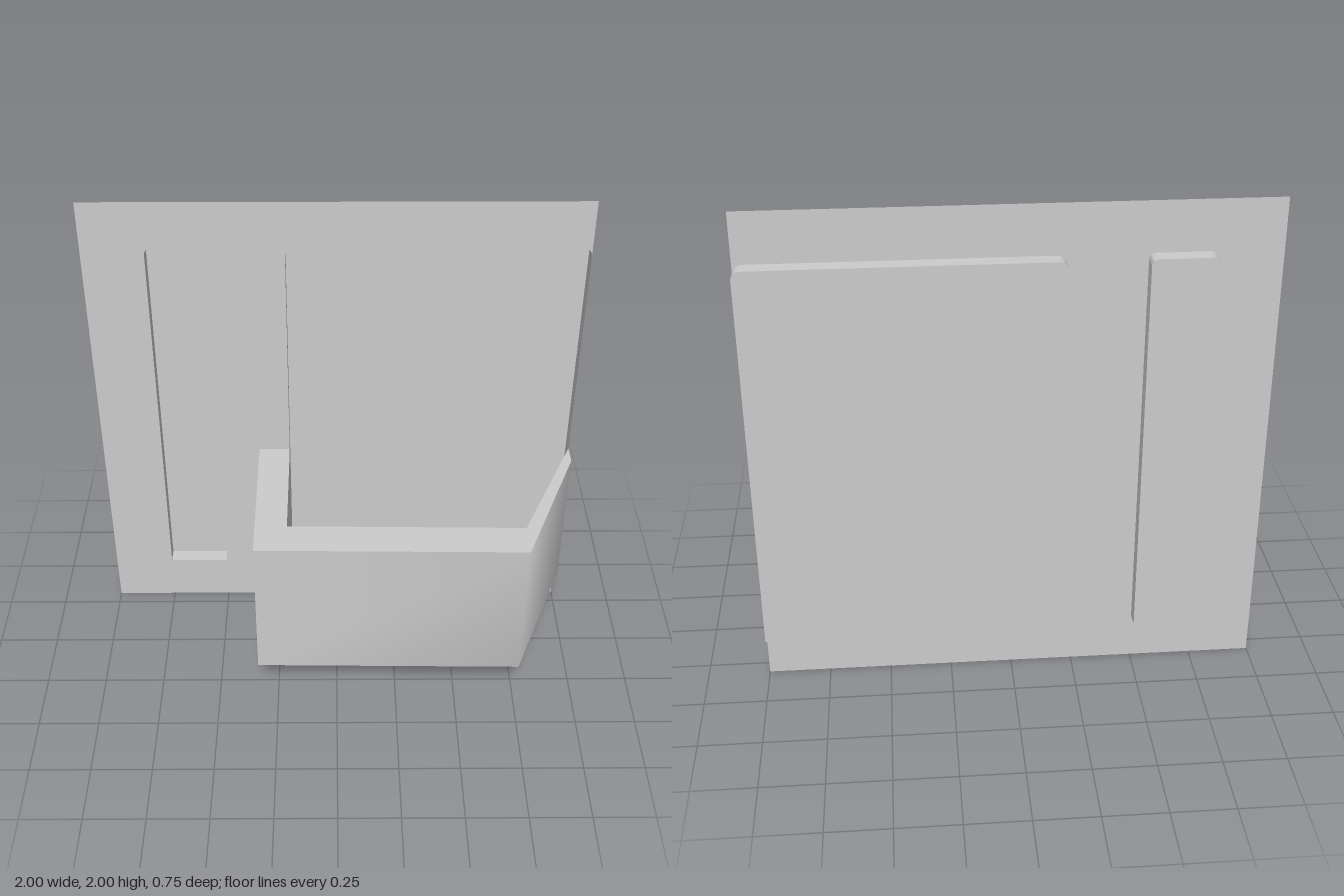
import * as THREE from 'three';
import { toCreasedNormals } from 'three/addons/utils/BufferGeometryUtils.js';

const material = new THREE.MeshStandardMaterial({ color: 0xcccccc, side: THREE.DoubleSide });
const PLATE_Z = -0.31, BACK_Z = -0.375;
const vecs = (pairs) => pairs.map(([x, y]) => new THREE.Vector2(x, y));

function add(parent, name, geometry, z = 0) {
  const mesh = new THREE.Mesh(geometry, material);
  mesh.name = name;
  mesh.position.z = z;
  parent.add(mesh);
  return mesh;
}

// Thin wall following a list of points, raised along z
function band(points, depth, crease) {
  const pos = [], index = [];
  points.forEach((p, i) => {
    pos.push(p.x, p.y, 0, p.x, p.y, depth);
    if (i < points.length - 1) {
      const a = 2 * i;
      index.push(a, a + 2, a + 3, a, a + 3, a + 1);
    }
  });
  const g = new THREE.BufferGeometry();
  g.setAttribute('position', new THREE.Float32BufferAttribute(pos, 3));
  g.setIndex(index);
  return toCreasedNormals(g, crease);
}

// Rectangle with rounded top corners, counter-clockwise from bottom right
function roundedTop(x0, x1, y0, y1, r) {
  const pts = [[x1, y0]];
  for (const [cx, start] of [[x1 - r, 0], [x0 + r, Math.PI / 2]]) {
    for (let i = 0; i <= 6; i++) {
      const a = start + (i / 6) * Math.PI / 2;
      pts.push([cx + r * Math.cos(a), y1 - r + r * Math.sin(a)]);
    }
  }
  pts.push([x0, y0]);
  return vecs(pts);
}

// Shallow recess behind the plate, open to the front
function recess(name, outline) {
  const g = new THREE.Group();
  g.name = name;
  add(g, name + 'Back', new THREE.ShapeGeometry(new THREE.Shape(outline)), BACK_Z);
  add(g, name + 'Walls', band([...outline, outline[0]], PLATE_Z - BACK_Z, 0.6), BACK_Z);
  return g;
}

export function createModel() {
  const model = new THREE.Group();
  model.name = 'wallPanel';

  const slot = roundedTop(-0.75, -0.5, 0.2, 1.8, 0.025);
  const panel = roundedTop(-0.2, 1, 0.2, 1.8, 0.035);

  // Flat plate, with a slot opening and a large notch reaching its right edge
  const notch = [panel[0], ...panel.slice(1).reverse()];
  const plate = new THREE.Shape([...vecs([[-1, 0], [1, 0]]), ...notch, ...vecs([[1, 2], [-1, 2]])]);
  plate.holes.push(new THREE.Path(slot));
  add(model, 'plate', new THREE.ShapeGeometry(plate), PLATE_Z);

  model.add(recess('slotRecess', slot), recess('panelRecess', panel));

  // Bin: drawn in plan (x, -z) and stood upright
  const outer = vecs([[-0.33, 0.31], [-0.33, -0.36], [0.76, -0.375], [1, 0.22], [1, 0.31]]);
  const inner = vecs([[1, 0.31], [0.76, -0.225], [-0.2, -0.21], [-0.2, 0.31]]);
  const height = 0.63;
  const bin = new THREE.Group();
  bin.name = 'bin';
  bin.rotation.x = -Math.PI / 2;
  bin.position.y = 0.2;
  add(bin, 'binOuterWall', band(outer, height, 1.4));
  add(bin, 'binInnerWall', band(inner, height, 0.3));
  add(bin, 'binRim', new THREE.ShapeGeometry(new THREE.Shape([...outer, ...inner.slice(1)])), height);
  add(bin, 'binFloor', new THREE.ShapeGeometry(new THREE.Shape(outer)));
  model.add(bin);

  return model;
}
